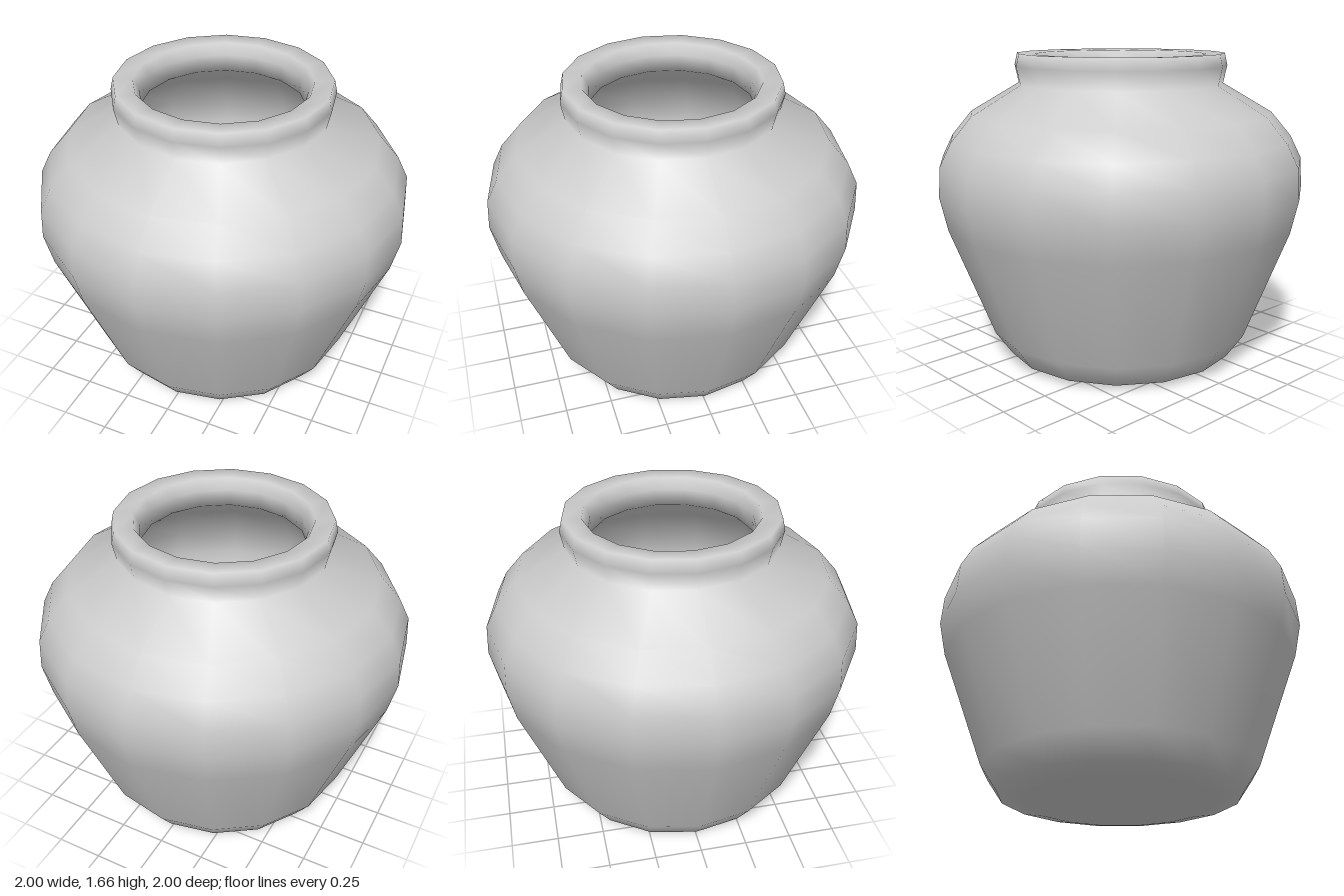
import * as THREE from 'three';

const SIDES = 16;

// Revolves a list of [radius, height] pairs around the y axis
function revolve(name, profile) {
  const points = profile.map(([r, y]) => new THREE.Vector2(r, y));
  const mesh = new THREE.Mesh(
    new THREE.LatheGeometry(points, SIDES),
    new THREE.MeshStandardMaterial({ color: 0xcccccc, side: THREE.DoubleSide })
  );
  mesh.name = name;
  return mesh;
}

export function createModel() {
  const pot = new THREE.Group();
  pot.name = 'pot';

  // One continuous wall: base, belly, shoulder, rolled rim, then the hollow inside
  pot.add(revolve('potWall', [
    // base and belly
    [0, 0], [0.5, 0], [0.64, 0.03], [0.73, 0.16], [0.96, 0.76],
    [1, 0.94], [0.99, 1.1], [0.93, 1.22],
    // shoulder and neck
    [0.82, 1.35], [0.555, 1.505], [0.575, 1.6],
    // rim
    [0.56, 1.665], [0.46, 1.66], [0.43, 1.6], [0.43, 1.51],
    // inside
    [0.76, 1.3], [0.9, 1.1], [0.92, 0.94], [0.89, 0.78],
    [0.66, 0.19], [0.5, 0.08], [0, 0.06],
  ]));

  return pot;
}
